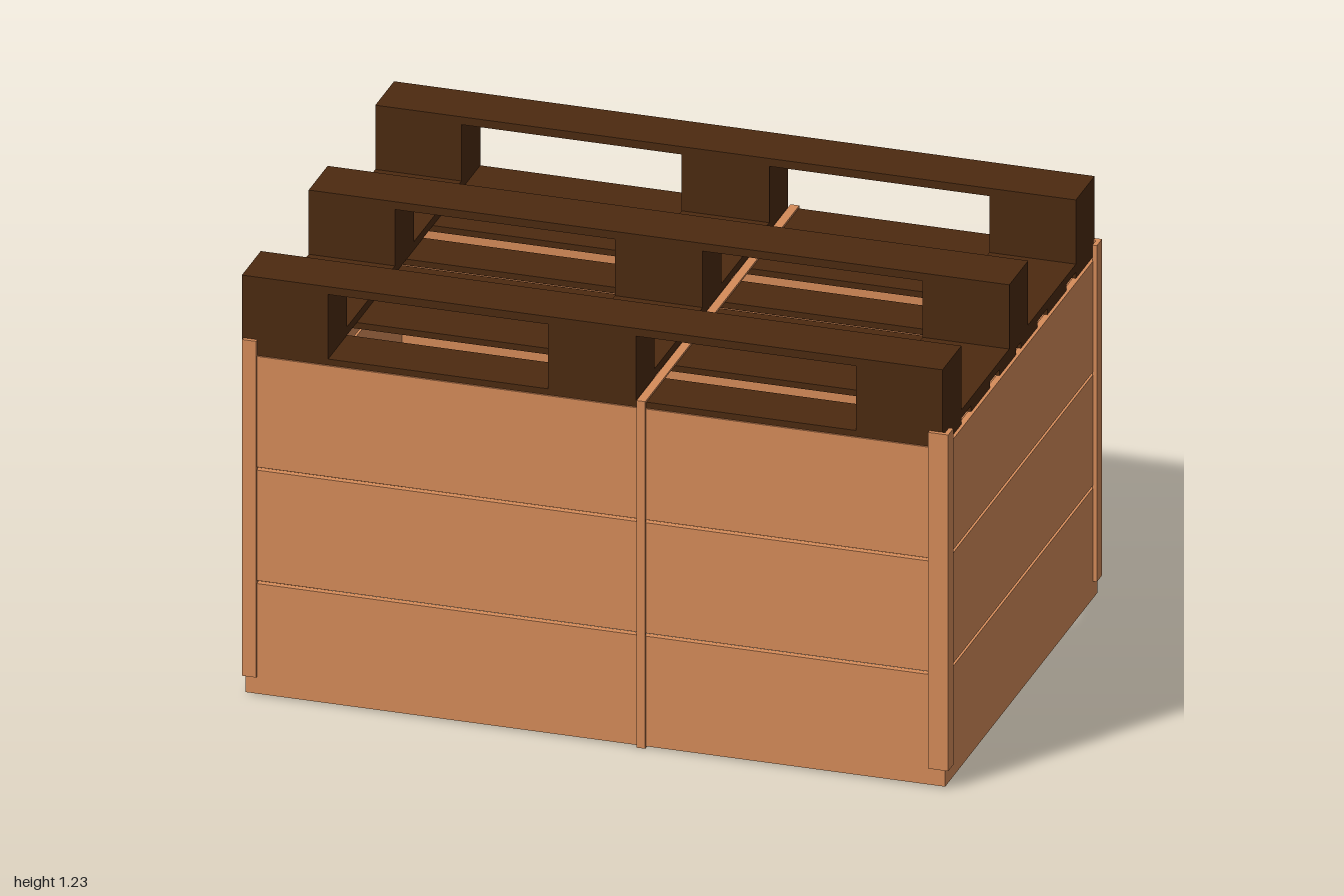
import * as THREE from 'three';

const wood = new THREE.MeshStandardMaterial({ color: 0xd68c5a });
const darkWood = new THREE.MeshStandardMaterial({ color: 0x4c2a10 });

// Adds a box given by its lower and upper limits on each axis
function slab(parent, name, material, [x0, x1], [y0, y1], [z0, z1]) {
  const mesh = new THREE.Mesh(new THREE.BoxGeometry(x1 - x0, y1 - y0, z1 - z0), material);
  mesh.position.set((x0 + x1) / 2, (y0 + y1) / 2, (z0 + z1) / 2);
  mesh.name = name;
  parent.add(mesh);
}

function group(parent, name) {
  const g = new THREE.Group();
  g.name = name;
  parent.add(g);
  return g;
}

export function createModel() {
  const model = new THREE.Group();
  model.name = 'palletCrate';
  const left = -0.988, right = 0.983, depth = 0.658, wall = 0.018;

  // Open-bottomed crate: three rows of planks with narrow gaps
  const crate = group(model, 'crateWalls');
  for (const y of [[0.005, 0.329], [0.338, 0.663], [0.672, 0.998]]) {
    slab(crate, 'frontPlank', wood, [left, right], y, [depth - wall, depth]);
    slab(crate, 'backPlank', wood, [left, right], y, [-depth, -depth + wall]);
    slab(crate, 'leftPlank', wood, [right - wall, right], y, [-depth + wall, depth - wall]);
    slab(crate, 'rightPlank', wood, [left, left + wall], y, [-depth + wall, depth - wall]);
  }

  // L-shaped corner posts; the last one sits flush inside the planks
  const posts = group(model, 'cornerPosts');
  const corners = [
    { x: 0.994, z: 0.665, sx: 1, sz: 1, w: 0.057 },
    { x: 0.994, z: -0.665, sx: 1, sz: -1, w: 0.057 },
    { x: -0.996, z: 0.665, sx: -1, sz: 1, w: 0.04 },
    { x: -0.986, z: -0.656, sx: -1, sz: -1, w: 0.03 },
  ];
  const span = (a, b) => [Math.min(a, b), Math.max(a, b)];
  for (const { x, z, sx, sz, w } of corners) {
    const t = 0.013, y = [0.055, 1.045];
    slab(posts, 'postFace', wood, span(x, x - sx * w), y, span(z, z - sz * t));
    slab(posts, 'postSide', wood, span(x, x - sx * t), y, span(z - sz * t, z - sz * 0.045));
  }

  // Upside-down pallet used as the lid
  const pallet = group(model, 'pallet');
  const length = [-1, 0.974];
  const columns = [[-1, -0.757], [-0.137, 0.11], [0.73, 0.974]];
  const runners = [[-0.662, -0.5], [-0.088, 0.076], [0.49, 0.653]];
  const slats = [[-0.662, -0.5], [-0.418, -0.253], [-0.17, -0.025],
    [0.016, 0.16], [0.242, 0.405], [0.49, 0.653]];
  for (const z of slats) slab(pallet, 'deckSlat', darkWood, length, [0.998, 1.016], z);
  for (const x of columns) slab(pallet, 'crossBoard', darkWood, x, [1.016, 1.04], [-0.662, 0.653]);
  for (const z of runners) {
    for (const x of columns) slab(pallet, 'spacerBlock', darkWood, x, [1.04, 1.206], z);
    slab(pallet, 'runner', darkWood, length, [1.206, 1.229], z);
  }

  // Strap looped around the crate and over the deck slats
  const strap = group(model, 'strap');
  const sx = [0.115, 0.14];
  slab(strap, 'strapTop', wood, sx, [1.016, 1.022], [-0.668, 0.664]);
  slab(strap, 'strapBottom', wood, sx, [0, 0.006], [-0.668, 0.664]);
  slab(strap, 'strapFront', wood, sx, [0, 1.022], [0.658, 0.664]);
  slab(strap, 'strapBack', wood, sx, [0, 1.022], [-0.668, -0.658]);
  return model;
}
